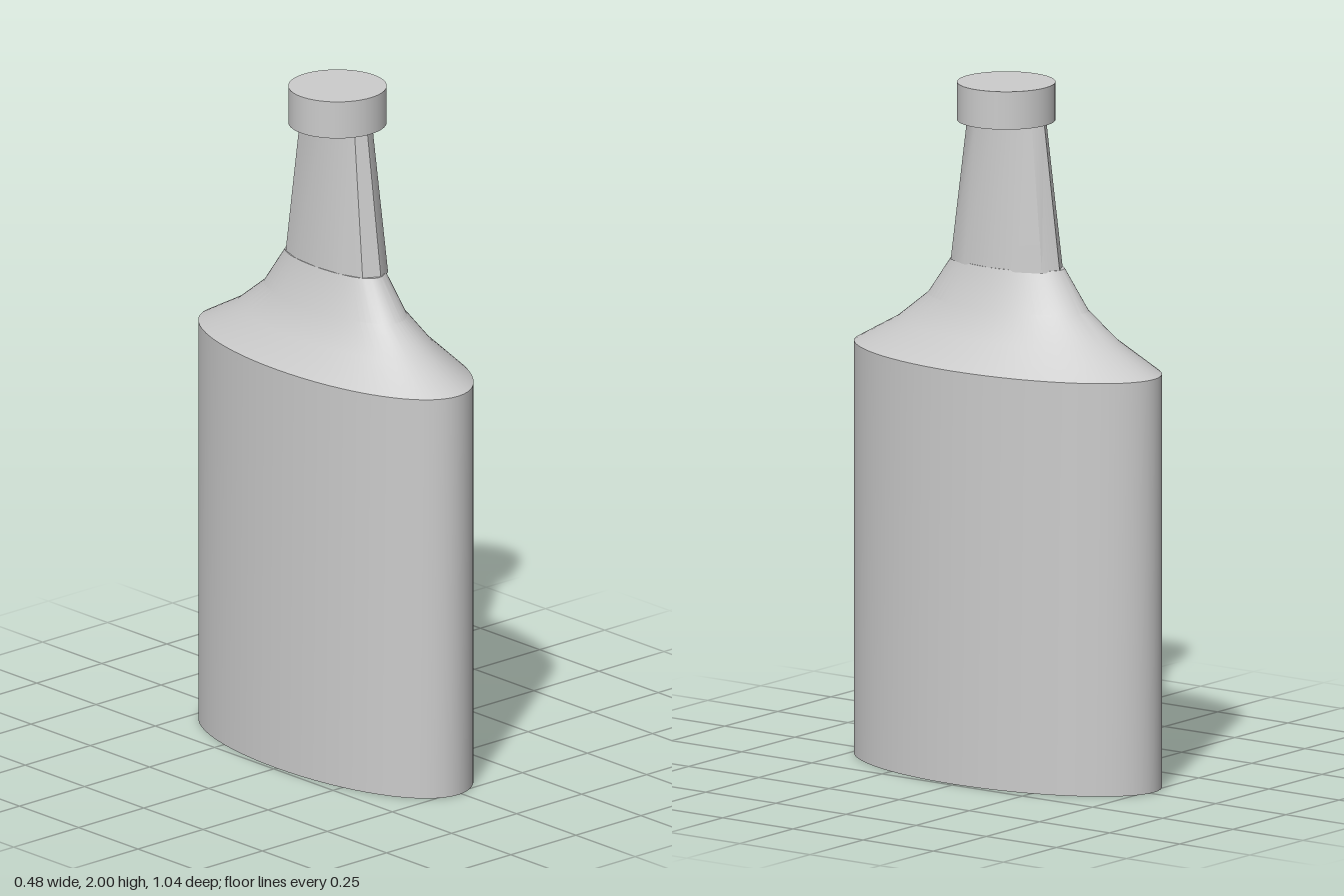
import * as THREE from 'three';
import { toCreasedNormals } from 'three/addons/utils/BufferGeometryUtils.js';

// Capped loft through oval rings: [y, half width x, half depth z, centre x, centre z].
// The oval ends lean slightly towards -x by skew; power < 1 makes the flanks fuller.
function ovalLoft(rings, segments, crease, skew, power = 1) {
  const positions = [], index = [];
  for (const [y, a, b, cx, cz] of rings) {
    for (let j = 0; j < segments; j++) {
      const t = (j / segments) * Math.PI * 2;
      const c = Math.cos(t), s = Math.sin(t);
      const x = Math.sign(c) * Math.abs(c) ** power * a - skew * s * s;
      positions.push(cx + x, y, cz + s * b);
    }
  }
  for (let i = 0; i < rings.length - 1; i++) {
    for (let j = 0; j < segments; j++) {
      const k = (j + 1) % segments;
      const a = i * segments + j, b = i * segments + k;
      index.push(a, a + segments, b, b, a + segments, b + segments);
    }
  }
  // end caps
  const top = (rings.length - 1) * segments;
  for (let j = 1; j < segments - 1; j++) {
    index.push(0, j, j + 1);
    index.push(top, top + j + 1, top + j);
  }
  const geometry = new THREE.BufferGeometry();
  geometry.setAttribute('position', new THREE.Float32BufferAttribute(positions, 3));
  geometry.setIndex(index);
  return toCreasedNormals(geometry, crease);
}

export function createModel() {
  const model = new THREE.Group();
  model.name = 'flatBottle';
  const material = new THREE.MeshStandardMaterial({ color: 0xcccccc });

  const add = (name, geometry) => {
    const mesh = new THREE.Mesh(geometry, material);
    mesh.name = name;
    model.add(mesh);
    return mesh;
  };

  // flat oval body with its concave shoulder
  add('bodyAndShoulder', ovalLoft([
    [0, 0.24, 0.518, 0, 0],
    [1.2, 0.24, 0.518, 0, 0],
    [1.28, 0.17, 0.374, -0.002, 0.001],
    [1.36, 0.12, 0.272, -0.004, 0.002],
    [1.475, 0.085, 0.19, -0.006, 0.003],
  ], 64, 0.3, 0.014));

  // coarse, tapering neck with a ridge at front and back
  add('neck', ovalLoft([
    [1.47, 0.085, 0.188, -0.006, 0.003],
    [1.9, 0.06, 0.131, -0.007, 0.003],
  ], 12, 0.7, 0.006, 0.8));

  // round cap
  const cap = add('cap', new THREE.CylinderGeometry(0.14, 0.14, 0.11, 64));
  cap.position.set(-0.007, 1.945, 0.002);

  return model;
}
